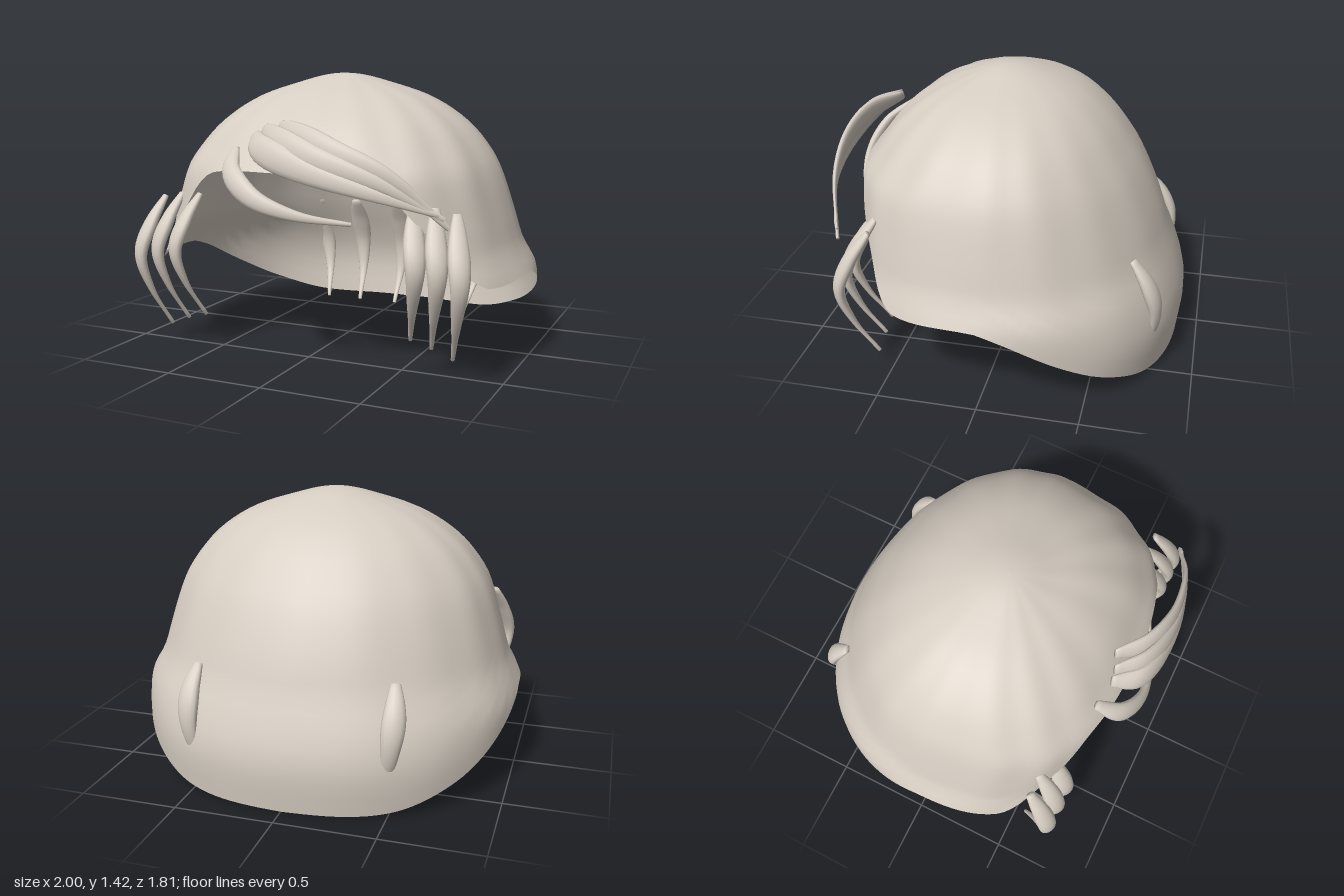
import * as THREE from 'three';

const hair = new THREE.MeshStandardMaterial({ color: 0xd6cdc2, side: THREE.DoubleSide });
hair.name = 'pale hair';

// Smooth one-dimensional interpolation through [x, value] keys
function smoothKeys(keys) {
  const slope = keys.map((k, i) => {
    const p = keys[Math.max(i - 1, 0)], n = keys[Math.min(i + 1, keys.length - 1)];
    return (n[1] - p[1]) / (n[0] - p[0]);
  });
  return (x) => {
    let i = 0;
    while (i < keys.length - 2 && x > keys[i + 1][0]) i++;
    const [x0, a] = keys[i], [x1, b] = keys[i + 1], h = x1 - x0;
    const t = THREE.MathUtils.clamp((x - x0) / h, 0, 1), t2 = t * t, t3 = t2 * t;
    return a * (2 * t3 - 3 * t2 + 1) + slope[i] * h * (t3 - 2 * t2 + t)
      + b * (3 * t2 - 2 * t3) + slope[i + 1] * h * (t3 - t2);
  };
}

// Indexed surface from rows of points; rows are closed loops
function loft(rows, flip) {
  const n = rows[0].length, index = [];
  for (let i = 0; i < rows.length - 1; i++) {
    for (let j = 0; j < n; j++) {
      const a = i * n + j, b = i * n + (j + 1) % n, c = a + n, d = b + n;
      if (flip) index.push(a, c, b, b, c, d);
      else index.push(a, b, c, b, d, c);
    }
  }
  const geo = new THREE.BufferGeometry().setFromPoints(rows.flat());
  geo.setIndex(index);
  geo.computeVertexNormals();
  return geo;
}

// Dome sections: height, half width, front z, back z, centre z
const TOP = 1.42;
const sections = [
  [1.42, 0, 0.06, 0.06, 0.06],
  [1.38, 0.22, 0.23, -0.15, 0.05],
  [1.3, 0.455, 0.42, -0.33, 0.03],
  [1.17, 0.65, 0.595, -0.485, 0.01],
  [1.04, 0.76, 0.705, -0.585, 0],
  [0.94, 0.815, 0.775, -0.65, 0],
  [0.7, 0.895, 0.8, -0.76, 0],
  [0.55, 0.94, 0.8, -0.81, 0],
  [0.44, 1, 0.8, -0.855, 0],
  [0.24, 1, 0.8, -0.91, 0],
  [0, 0.98, 0.8, -0.89, 0],
];
const [widthAt, frontAt, backAt, centreAt] = [1, 2, 3, 4].map((c) =>
  smoothKeys(sections.map((s) => [Math.sqrt(TOP - s[0]), s[c]])));

// Height of the hairline from front (0) to back (PI)
const rimAt = smoothKeys([
  [0, 0.96], [0.2, 0.96], [0.45, 0.94], [0.56, 0.88], [0.65, 0.79], [0.8, 0.65],
  [0.88, 0.54], [0.98, 0.47], [1.09, 0.43], [1.54, 0.44], [1.66, 0.41],
  [1.76, 0.37], [1.99, 0.25], [2.26, 0.13], [2.62, 0.025], [Math.PI, 0.005],
]);

function capGeometry() {
  const rows = [], R = 32, N = 128;
  for (let i = 0; i <= R; i++) {
    const row = [];
    for (let j = 0; j < N; j++) {
      const a = (j / N) * Math.PI * 2, s = Math.sin(a), c = Math.cos(a);
      const rim = rimAt(Math.min(a, Math.PI * 2 - a));
      const w = (i / R) * Math.sqrt(TOP - rim), y = TOP - w * w;
      // rounded-square outline in front; the back only squares off near the nape
      const p = c > 0 ? 1 - 0.2 * Math.min(w / 0.7, 1) : 1 - 0.08 * THREE.MathUtils.smoothstep(w, 0.85, 1.1);
      // gentle combed ridges, strongest over the front
      const ripple = 1 + 0.012 * Math.cos(16 * a) * Math.sin(Math.PI * i / R) * (0.6 + 0.4 * c);
      const mid = centreAt(w), reach = c > 0 ? frontAt(w) - mid : mid - backAt(w);
      row.push(new THREE.Vector3(
        widthAt(w) * Math.sign(s) * Math.abs(s) ** p * ripple, y,
        mid + reach * Math.sign(c) * Math.abs(c) ** p * ripple));
    }
    rows.push(row);
  }
  return loft(rows, true);
}

// Tapered lock: flattened section swept along a path, broad near the root
const swell = smoothKeys([[0, 0.42], [0.15, 0.78], [0.35, 1], [0.6, 0.72], [0.85, 0.32], [1, 0.18]]);

function lock(name, points, width, thickness, facing) {
  const path = new THREE.CatmullRomCurve3(points.map((p) => new THREE.Vector3(...p)));
  const out = new THREE.Vector3(...facing), rows = [], S = 24, N = 14;
  for (let i = 0; i <= S; i++) {
    const t = i / S, centre = path.getPoint(t), tangent = path.getTangent(t);
    const side = out.clone().cross(tangent).normalize();
    const up = tangent.clone().cross(side);
    const ring = (k) => Array.from({ length: N }, (_, j) => {
      const a = (j / N) * Math.PI * 2;
      return centre.clone()
        .addScaledVector(side, Math.cos(a) * k * swell(t) * width / 2)
        .addScaledVector(up, Math.sin(a) * k * Math.max(swell(t), 0.3) * thickness / 2);
    });
    if (i === 0) rows.push(ring(0));
    rows.push(ring(1));
    if (i === S) rows.push(ring(0));
  }
  const mesh = new THREE.Mesh(loft(rows, false), hair);
  mesh.name = name;
  return mesh;
}

export function createModel() {
  const model = new THREE.Group();
  model.name = 'hair';

  const cap = new THREE.Mesh(capGeometry(), hair);
  cap.name = 'hairCap';
  model.add(cap);

  // Three curved locks in front of each ear
  for (const side of [1, -1]) {
    const group = new THREE.Group();
    group.name = side > 0 ? 'leftSideLocks' : 'rightSideLocks';
    [[0.79, 0.79, 0.11], [0.685, 0.81, 0.15], [0.58, 0.81, 0.18]].forEach(([x, top, tip], i) => {
      const h = top - tip;
      group.add(lock('sideLock' + (i + 1), [
        [side * x, top, 0.57],
        [side * (x + 0.035), top - 0.2 * h, 0.66],
        [side * (x + 0.062), top - 0.43 * h, 0.715],
        [side * (x + 0.035), top - 0.7 * h, 0.67],
        [side * (x - 0.015), tip, 0.56],
      ], 0.105, 0.065, [side * 0.5, 0, 0.85]));
    });
    model.add(group);
  }

  // Five locks along the nape; the outer pair pushes through the cap
  const nape = new THREE.Group();
  nape.name = 'napeLocks';
  for (const x of [-0.5, -0.26, 0, 0.26, 0.5]) {
    nape.add(lock('napeLock', [
      [x, 0.63, -0.67], [x * 1.03, 0.51, -0.75], [x * 1.02, 0.37, -0.795],
      [x * 0.97, 0.2, -0.775], [x * 0.89, 0.01, -0.67],
    ], 0.115, 0.07, [x * 0.5, 0, -1]));
  }
  model.add(nape);

  // Swept fringe: three long locks and one short
  const fringe = new THREE.Group();
  fringe.name = 'fringe';
  const long = [
    [[-0.18, 1.13, 0.7], [-0.08, 1.08, 0.82], [0.15, 1, 0.875], [0.45, 0.91, 0.855], [0.76, 0.81, 0.74]],
    [[-0.13, 1.16, 0.69], [-0.01, 1.12, 0.8], [0.2, 1.05, 0.86], [0.5, 0.95, 0.835], [0.78, 0.79, 0.73]],
    [[-0.06, 1.175, 0.66], [0.07, 1.14, 0.775], [0.28, 1.08, 0.835], [0.56, 0.97, 0.81], [0.8, 0.75, 0.72]],
  ];
  long.forEach((p, i) => fringe.add(lock('longFringeLock' + (i + 1), p, 0.14, 0.055, [0.15, 0.15, 1])));
  fringe.add(lock('shortFringeLock', [
    [-0.3, 1.06, 0.68], [-0.25, 0.96, 0.8], [-0.1, 0.85, 0.865], [0.1, 0.78, 0.84], [0.34, 0.74, 0.74],
  ], 0.11, 0.06, [0, 0.2, 1]));
  model.add(fringe);

  return model;
}
